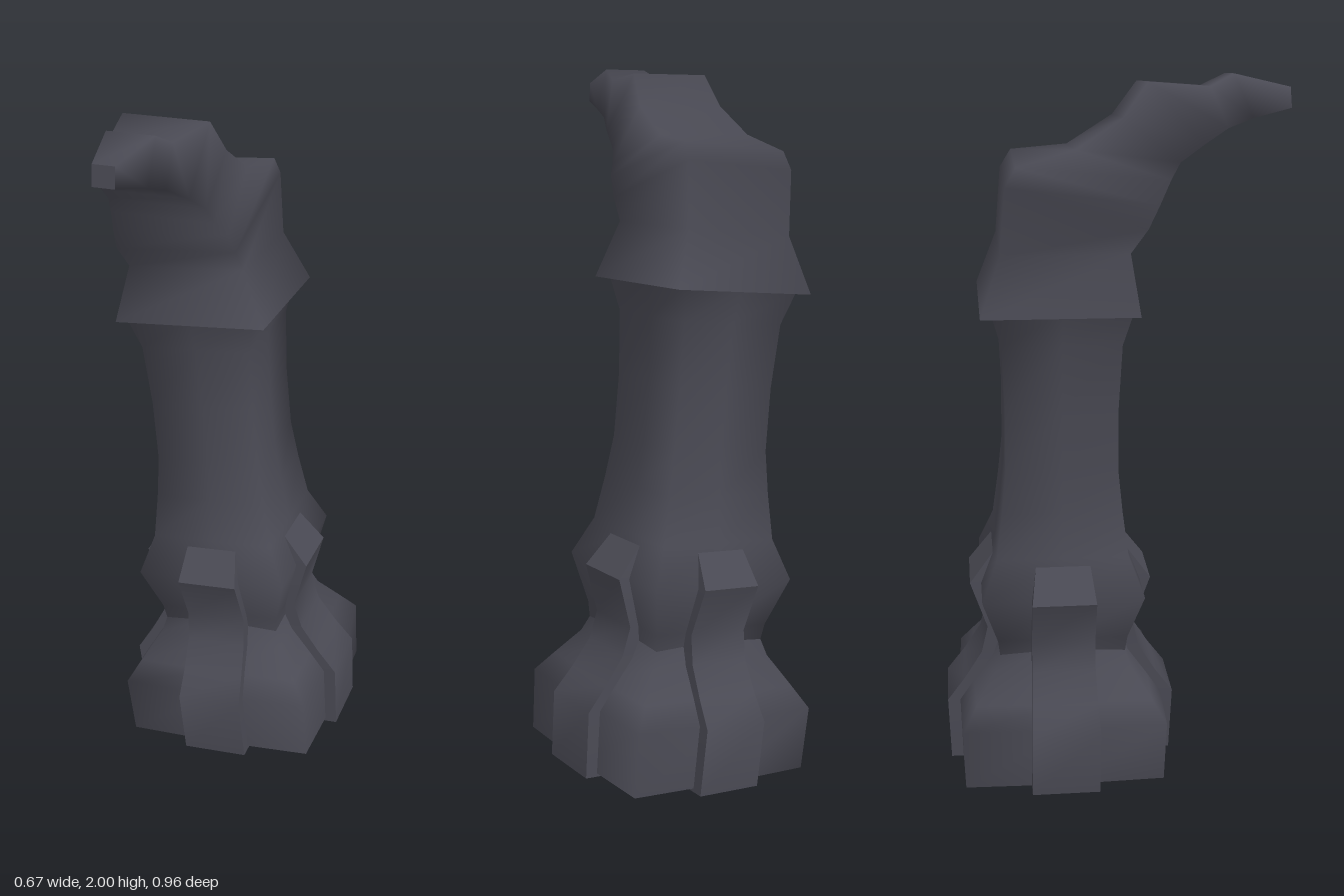
import * as THREE from 'three';
import { toCreasedNormals } from 'three/addons/utils/BufferGeometryUtils.js';

// Skin a list of rings (counterclockwise seen from the end) and cap both ends
function loft(rings) {
  const n = rings[0].length, pos = [], idx = [];
  rings.forEach(r => r.forEach(p => pos.push(...p)));
  for (let i = 0; i < rings.length - 1; i++) {
    for (let j = 0; j < n; j++) {
      const a = i * n + j, b = i * n + (j + 1) % n;
      idx.push(a, b, b + n, a, b + n, a + n);
    }
  }
  // Caps use their own corners so the rims stay sharp
  [rings[0], rings[rings.length - 1]].forEach((ring, end) => {
    const s = pos.length / 3;
    ring.forEach(p => pos.push(...p));
    for (let j = 1; j < n - 1; j++) idx.push(s, s + (end ? j : j + 1), s + (end ? j + 1 : j));
  });
  const g = new THREE.BufferGeometry();
  g.setAttribute('position', new THREE.Float32BufferAttribute(pos, 3));
  g.setIndex(idx);
  g.computeVertexNormals();
  return g;
}

// Square ring with slightly bowed sides
function squareRing(y, h, bow = 1.03) {
  const m = h * bow;
  return [[-h, y, h], [0, y, m], [h, y, h], [m, y, 0], [h, y, -h], [0, y, -m], [-h, y, -h], [-m, y, 0]];
}

function rectRing(y, hx, hz) {
  return [[-hx, y, hz], [hx, y, hz], [hx, y, -hz], [-hx, y, -hz]];
}

export function createModel() {
  const model = new THREE.Group();
  const slate = new THREE.MeshStandardMaterial({ color: 0x4a4a54 });
  slate.name = 'darkSlate';
  const add = (parent, geometry, name) => {
    const mesh = new THREE.Mesh(geometry, slate);
    mesh.name = name;
    parent.add(mesh);
    return mesh;
  };

  // Leaning tower: flared foot, square shaft and four ribs
  const tower = new THREE.Group();
  tower.name = 'tower';
  tower.position.set(0.005, 0.03, -0.146);
  tower.rotation.z = 0.089;
  model.add(tower);

  const foot = [[0.01, 0.285], [0.19, 0.29], [0.25, 0.25], [0.33, 0.195], [0.4, 0.17]];
  add(tower, loft(foot.map(([y, h]) => squareRing(y, h))), 'foot');

  const shaft = [[0.34, 0.175], [0.42, 0.185], [0.56, 0.228], [0.67, 0.185], [0.8, 0.168],
    [0.92, 0.156], [1.1, 0.155], [1.28, 0.163], [1.38, 0.19]];
  add(tower, loft(shaft.map(([y, h]) => squareRing(y, h, 1))), 'shaft');

  // Each crossing rib shows on two opposite sides
  const rib = [[0, 0.325, 0.097], [0.19, 0.332, 0.097], [0.26, 0.28, 0.093], [0.34, 0.23, 0.09],
    [0.42, 0.212, 0.09], [0.56, 0.26, 0.09], [0.66, 0.185, 0.075]];
  const ribGeometry = toCreasedNormals(loft(rib.map(([y, h, w]) => rectRing(y, h, w))), 0.9);
  add(tower, ribGeometry, 'sideRibs');
  add(tower, ribGeometry, 'frontBackRibs').rotation.y = Math.PI / 2;

  // Head: [back z, back y, front z, front y, centre x, half width], from skirt to snout tip
  const head = [
    [-0.365, 1.395, 0.06, 1.395, -0.112, 0.22],
    [-0.31, 1.55, 0.035, 1.555, -0.127, 0.168],
    [-0.295, 1.73, 0.08, 1.62, -0.138, 0.172],
    [-0.265, 1.78, 0.11, 1.68, -0.14, 0.165],
    [-0.11, 1.81, 0.14, 1.73, -0.148, 0.148],
    [0.015, 1.89, 0.165, 1.775, -0.152, 0.138],
    [0.08, 1.98, 0.23, 1.82, -0.157, 0.122],
    [0.25, 1.968, 0.3, 1.86, -0.153, 0.085],
    [0.315, 2.0, 0.37, 1.885, -0.153, 0.066],
    [0.475, 1.965, 0.48, 1.91, -0.155, 0.03],
  ];
  const rings = head.map(([bz, by, fz, fy, cx, w], i) => {
    const slope = i < 4 ? 0.089 : 0; // the lower head leans with the tower
    return [[-1, fy, fz], [1, fy, fz], [1, by, bz], [-1, by, bz]]
      .map(([s, y, z]) => [cx + s * w, y + s * w * slope, z]);
  });
  add(model, loft(rings), 'head');

  return model;
}
